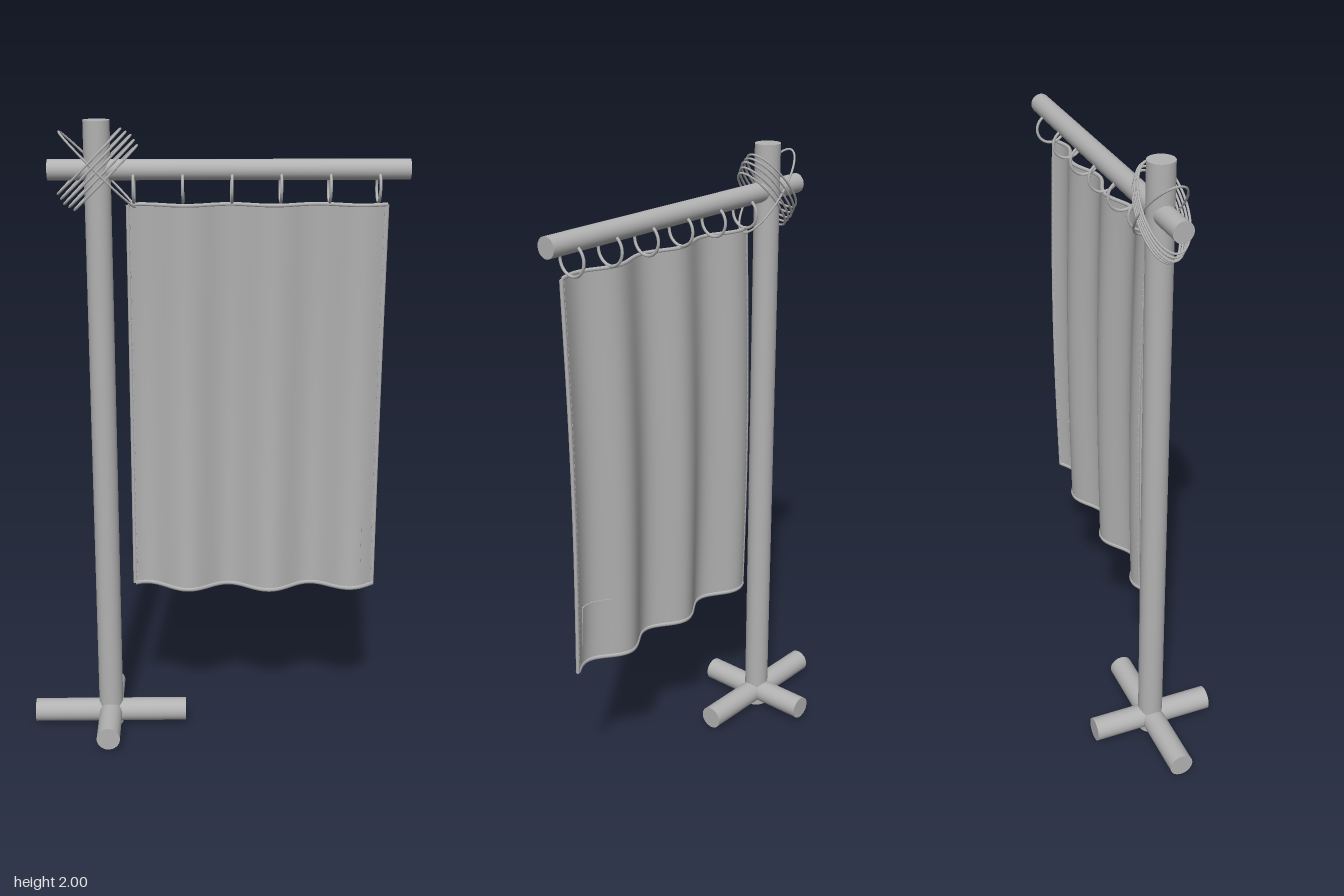
import * as THREE from 'three';
import { mergeGeometries } from 'three/addons/utils/BufferGeometryUtils.js';

const POLE_X = -0.342, BAR_Y = 1.855;
const X0 = -0.253, X1 = 0.523, TOP = 1.753, BOTTOM = 0.516;

// Centre surface of the hanging cloth; u runs across, v runs down, both 0 to 1
function clothPoint(u, v, offset = 0) {
  const x = X0 + (X1 - X0) * u;
  const wave = Math.cos((2 * Math.PI * (x - 0.185)) / 0.265);
  const belly = Math.sin(Math.PI * v);
  const z = 0.02 - 0.012 * belly + (0.018 + 0.012 * v) * wave;
  const y = TOP + (BOTTOM - TOP) * v - 0.007 * v * Math.sin(Math.PI * u);
  return new THREE.Vector3(x, y, z + offset);
}

// Thin slab that follows the cloth between the given u and v limits
function clothSlab(u0, u1, v0, v1, thickness, offset, nu, nv) {
  const g = new THREE.BoxGeometry(1, 1, thickness, nu, nv, 1);
  const p = g.attributes.position;
  for (let i = 0; i < p.count; i++) {
    const u = u0 + (u1 - u0) * (p.getX(i) + 0.5);
    const v = v0 + (v1 - v0) * (0.5 - p.getY(i));
    const q = clothPoint(u, v, offset + p.getZ(i));
    p.setXYZ(i, q.x, q.y, q.z);
  }
  g.computeVertexNormals();
  return g;
}

export function createModel() {
  const model = new THREE.Group();
  const grey = new THREE.MeshStandardMaterial({ color: 0xb2b2b2 });
  grey.name = 'plain grey';

  const add = (name, geometry, x = 0, y = 0, z = 0) => {
    const mesh = new THREE.Mesh(geometry, grey);
    mesh.name = name;
    mesh.position.set(x, y, z);
    model.add(mesh);
    return mesh;
  };

  // Upright, crossbar and crossed feet
  add('upright', new THREE.CylinderGeometry(0.04, 0.04, 2, 32), POLE_X, 1, 0);
  add('crossbar', new THREE.CylinderGeometry(0.031, 0.031, 1.08, 32), 0.05, BAR_Y, 0).rotation.z = Math.PI / 2;
  add('footAcross', new THREE.CylinderGeometry(0.038, 0.038, 0.505, 32), POLE_X, 0.046, 0).rotation.z = Math.PI / 2;
  add('footForward', new THREE.CylinderGeometry(0.038, 0.038, 0.4, 32), POLE_X, 0.048, 0).rotation.x = Math.PI / 2;

  // Hanging rings
  for (let i = 0; i < 6; i++) {
    const ring = add('hangingRing', new THREE.TorusGeometry(0.046, 0.0045, 10, 32), -0.235 + i * 0.1465, 1.804, 0);
    ring.rotation.y = Math.PI / 2;
  }

  // Diagonal rope lashing around the joint
  const loop = (length, depth, angle, shift) => {
    const points = [];
    for (let i = 0; i < 32; i++) {
      const a = (i / 32) * Math.PI * 2;
      points.push(new THREE.Vector3(Math.cos(a) * length, shift, Math.sin(a) * depth));
    }
    const curve = new THREE.CatmullRomCurve3(points, true);
    const g = new THREE.TubeGeometry(curve, 64, 0.0035, 6, true);
    add('ropeLoop', g, POLE_X, BAR_Y, 0).rotation.z = angle;
  };
  for (let i = 0; i < 5; i++) loop(0.135 + 0.004 * (2 - Math.abs(i - 2)), 0.056 + 0.002 * i, Math.PI / 4, (i - 2) * 0.017);
  loop(0.157, 0.06, -Math.PI / 4, 0);

  // Cloth with rolled hems
  add('cloth', clothSlab(0, 1, 0, 1, 0.008, 0, 64, 32));
  const hem = (name, at, radius) => {
    const points = [];
    for (let i = 0; i <= 32; i++) points.push(at(i / 32));
    add(name, new THREE.TubeGeometry(new THREE.CatmullRomCurve3(points), 64, radius, 8, false));
  };
  hem('topHem', t => clothPoint(t, 0), 0.006);
  hem('bottomHem', t => clothPoint(t, 1), 0.008);
  hem('leftHem', t => clothPoint(1, t), 0.006);
  hem('rightHem', t => clothPoint(0, t), 0.006);

  // Small stitches beside the two side hems
  const stitches = [];
  for (const u of [0.008, 0.992]) {
    for (let i = 0; i < 60; i++) {
      const q = clothPoint(u, (i + 0.5) / 60);
      stitches.push(new THREE.BoxGeometry(0.003, 0.011, 0.014).translate(q.x, q.y, q.z));
    }
  }
  add('stitches', mergeGeometries(stitches));

  // Square patch on the back and its seam on the front
  add('patch', clothSlab(0.81, 0.945, 0.835, 0.94, 0.004, -0.0055, 10, 4));
  add('patchSeam', clothSlab(0.943, 0.949, 0.835, 0.94, 0.003, 0.005, 1, 4));
  return model;
}
